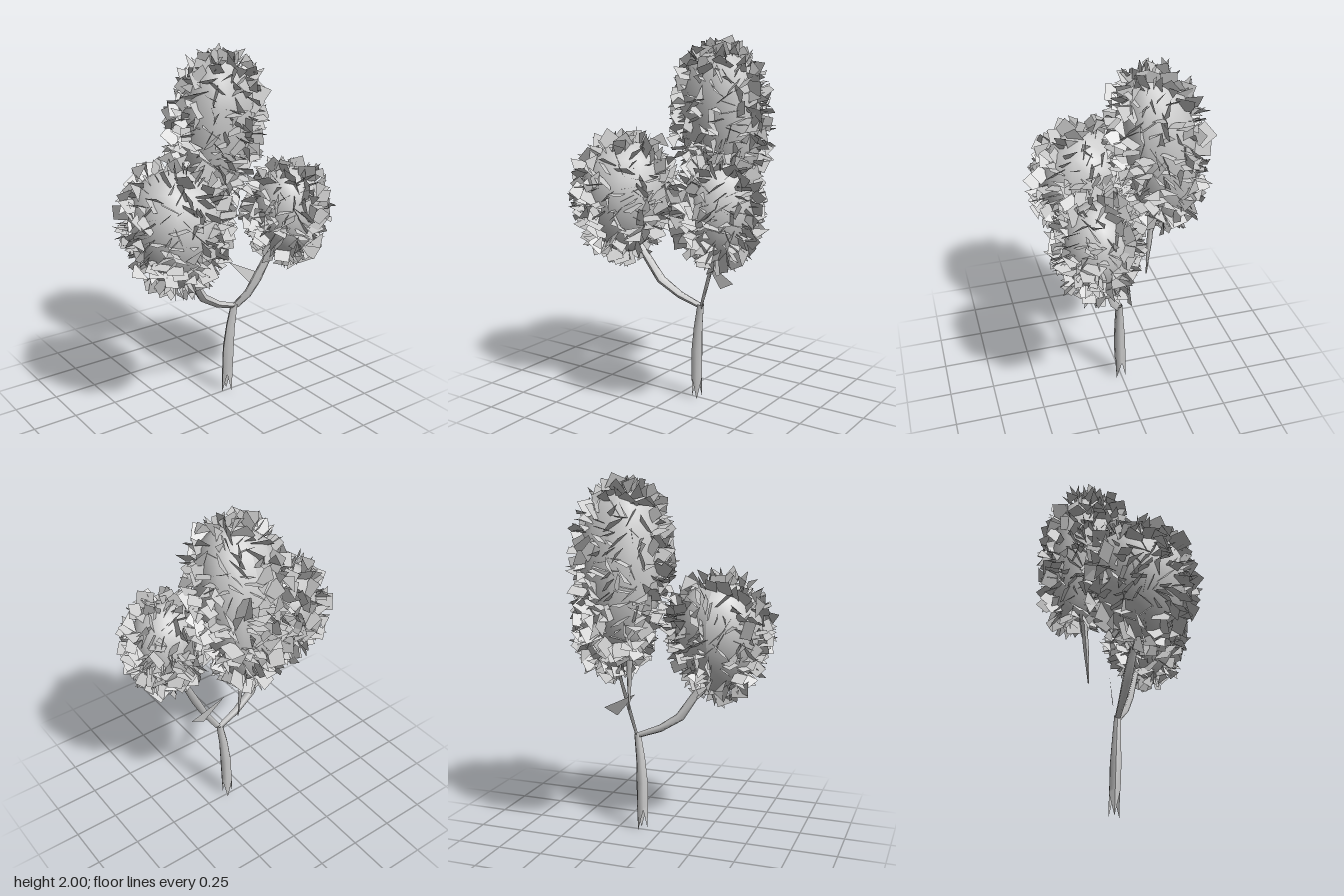
import * as THREE from 'three';

const V = (x, y, z) => new THREE.Vector3(x, y, z);
const material = new THREE.MeshStandardMaterial({ color: 0xcccccc, side: THREE.DoubleSide });
const leafMaterial = new THREE.MeshStandardMaterial({ color: 0xcccccc, side: THREE.DoubleSide, flatShading: true });

// Small seeded random generator
function seeded(seed) {
  return () => {
    seed = (seed * 1664525 + 1013904223) % 4294967296;
    return seed / 4294967296;
  };
}

// Tapered limb along a path; radii are spread evenly along it.
// jagged lifts every other root corner, flat is an axis to thin the limb along
function limb(name, points, radii, { sides = 5, jagged = 0, flat = V(0, 0, 0) } = {}) {
  const path = new THREE.CatmullRomCurve3(points, false, 'catmullrom', 0.1);
  const steps = (points.length - 1) * 2;
  const geo = new THREE.TubeGeometry(path, steps, 1, sides, false);
  const pos = geo.attributes.position;
  const p = V(0, 0, 0);
  for (let i = 0; i <= steps; i++) {
    const t = i / steps, centre = path.getPointAt(t);
    const f = t * (radii.length - 1), k = Math.min(Math.floor(f), radii.length - 2);
    const r = THREE.MathUtils.lerp(radii[k], radii[k + 1], f - k);
    for (let j = 0; j <= sides; j++) {
      const n = i * (sides + 1) + j;
      p.fromBufferAttribute(pos, n).sub(centre).multiplyScalar(r);
      p.addScaledVector(flat, -0.85 * p.dot(flat)).add(centre);
      if (i === 0 && (j % sides) % 2) p.y += jagged;
      pos.setXYZ(n, p.x, p.y, p.z);
    }
  }
  geo.computeVertexNormals();
  const mesh = new THREE.Mesh(geo, material);
  mesh.name = name;
  return mesh;
}

// Point and outward direction on a rounded crown that leans and tapers with height;
// plan and rise set how boxy it is across and upwards
function crownPoint(dir, c) {
  const a = Math.abs(dir.x), b = Math.abs(dir.y), d = Math.abs(dir.z);
  const across = a ** c.plan + d ** c.plan + 1e-9;
  const q = dir.clone().multiplyScalar((across ** (c.rise / c.plan) + b ** c.rise) ** (-1 / c.rise));
  const s = q.y < 0 ? 1 + c.taper * q.y : 1;
  const point = V(
    q.x * c.radius.x * s + c.lean.x * q.y,
    q.y * c.radius.y,
    q.z * c.radius.z * s + c.lean.z * q.y
  ).add(c.centre);
  const g = across ** (c.rise / c.plan - 1);
  const out = V(
    Math.sign(dir.x) * g * a ** (c.plan - 1),
    Math.sign(dir.y) * b ** (c.rise - 1),
    Math.sign(dir.z) * g * d ** (c.plan - 1)
  ).divide(c.radius).normalize();
  return { point, out };
}

function crown(c) {
  const group = new THREE.Group();
  group.name = c.name;
  const rand = seeded(c.seed);

  // Smooth core
  const geo = new THREE.SphereGeometry(1, 12, 8);
  const pos = geo.attributes.position;
  for (let i = 0; i < pos.count; i++) {
    const { point } = crownPoint(V(0, 0, 0).fromBufferAttribute(pos, i).normalize(), c);
    pos.setXYZ(i, point.x, point.y, point.z);
  }
  geo.computeVertexNormals();
  const core = new THREE.Mesh(geo, material);
  core.name = c.name + 'Core';
  group.add(core);

  // Leaf blades standing edge-on to the core, sparser towards top and bottom
  const verts = [];
  for (let i = 0; i < c.leaves; i++) {
    const u = 1 - 2 * (i + 0.5) / c.leaves;
    const y = u * (0.8 + 0.2 * u * u);
    const a = i * 2.39996 + rand() * 0.5;
    const h = Math.sqrt(1 - y * y);
    const { point, out } = crownPoint(V(h * Math.cos(a), y, h * Math.sin(a)), c);
    const side = V(rand() - 0.5, rand() - 0.5, rand() - 0.5).cross(out).normalize();
    const tilt = V(0, 0, 0).crossVectors(out, side).multiplyScalar((rand() - 0.5) * 0.2);
    const up = out.clone().add(tilt).normalize();
    const mid = point.addScaledVector(out, rand() * 0.035);
    const size = 0.045 + rand() * 0.022, spin = rand() * Math.PI * 2;
    const corner = (n) => {
      const b = spin + n * Math.PI / 2;
      return mid.clone().addScaledVector(side, Math.cos(b) * size).addScaledVector(up, Math.sin(b) * size);
    };
    // some blades are squares, the rest triangles
    const order = rand() < 0.4 ? [0, 1, 2, 0, 2, 3] : [0, 1, 2];
    for (const n of order) verts.push(...corner(n).toArray());
  }
  const leafGeo = new THREE.BufferGeometry();
  leafGeo.setAttribute('position', new THREE.Float32BufferAttribute(verts, 3));
  leafGeo.computeVertexNormals();
  const leaves = new THREE.Mesh(leafGeo, leafMaterial);
  leaves.name = c.name + 'Leaves';
  group.add(leaves);
  return group;
}

export function createModel() {
  const tree = new THREE.Group();
  tree.name = 'tree';

  // Trunk, forked branches and a twig hanging from the tall crown
  tree.add(
    limb('trunk', [V(0.005, 0.005, -0.11), V(0.015, 0.35, -0.115), V(0.025, 0.56, -0.145)],
      [0.032, 0.034, 0.02], { sides: 6, jagged: 0.12 }),
    limb('frontBranch', [V(0.025, 0.55, -0.145), V(0.05, 0.635, 0.07), V(0.1, 0.9, 0.24)], [0.016, 0.027, 0.02]),
    limb('backBranch', [V(0.03, 0.55, -0.15), V(0.09, 0.65, -0.21), V(0.15, 0.92, -0.32)],
      [0.02, 0.028, 0.02], { flat: V(1, 0, 1).normalize() }),
    limb('hangingTwig', [V(-0.135, 0.74, -0.13), V(-0.145, 0.88, -0.125), V(-0.17, 1.15, -0.11)],
      [0.003, 0.016, 0.018], { sides: 4 })
  );

  // Loose leaf beside the back branch
  const loose = new THREE.Mesh(new THREE.BufferGeometry().setFromPoints(
    [V(-0.02, 0.8, -0.14), V(0.01, 0.7, -0.34), V(0.01, 0.66, -0.26)]), leafMaterial);
  loose.geometry.computeVertexNormals();
  loose.name = 'looseLeaf';
  tree.add(loose);

  // Three leafy crowns
  tree.add(
    crown({ name: 'frontCrown', centre: V(0.115, 1.125, 0.3), radius: V(0.25, 0.305, 0.245),
      lean: V(-0.02, 0, 0), plan: 2, rise: 2.5, taper: 0.3, leaves: 330, seed: 11 }),
    crown({ name: 'tallCrown', centre: V(-0.175, 1.505, -0.145), radius: V(0.19, 0.41, 0.21),
      lean: V(0.045, 0, -0.01), plan: 3, rise: 2.8, taper: 0.25, leaves: 390, seed: 29 }),
    crown({ name: 'backCrown', centre: V(0.205, 1.125, -0.36), radius: V(0.185, 0.25, 0.19),
      lean: V(0, 0, 0), plan: 2, rise: 2.3, taper: 0.15, leaves: 280, seed: 53 })
  );
  return tree;
}
